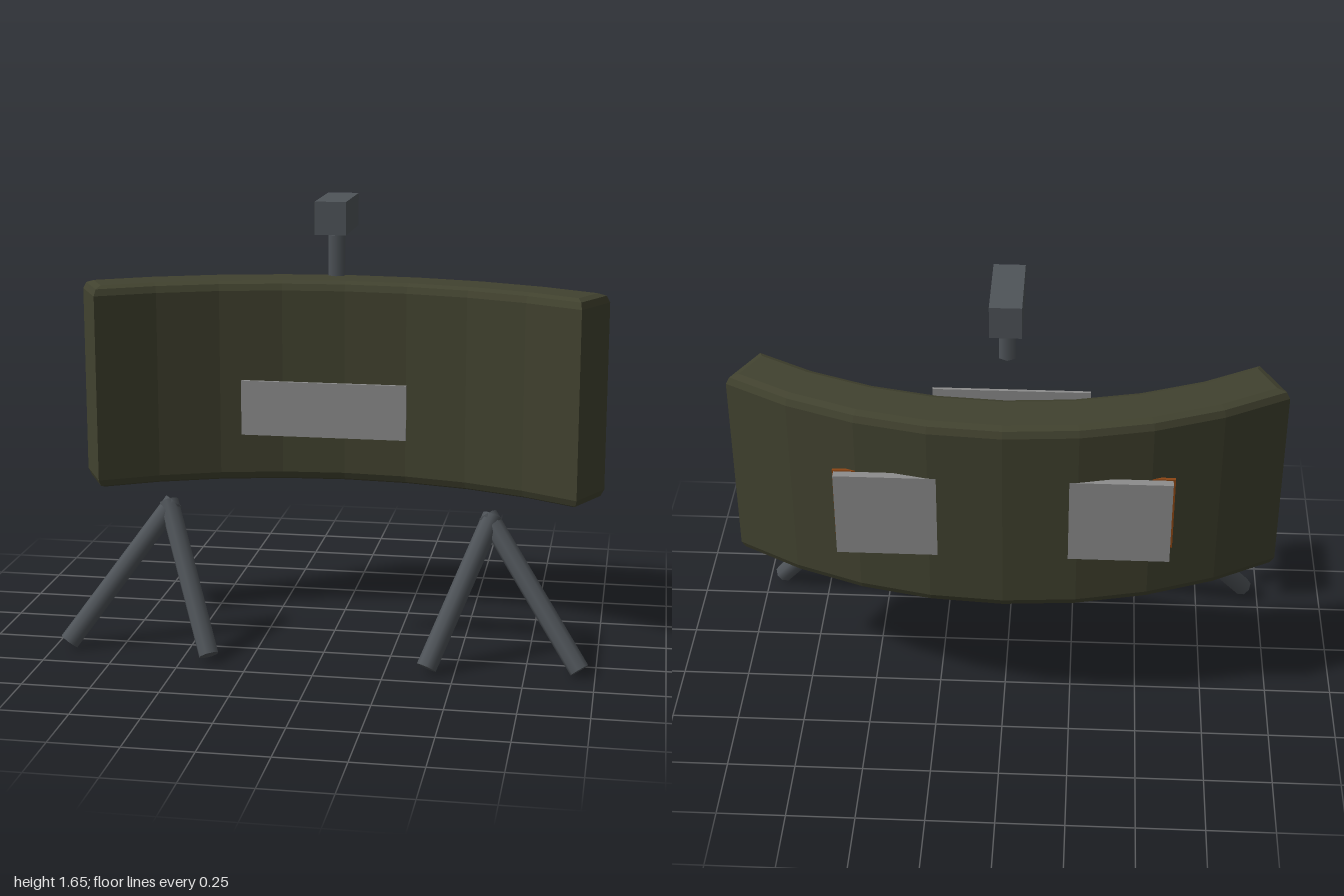
import * as THREE from 'three';

const material = (name, color) => {
  const m = new THREE.MeshStandardMaterial({ color });
  m.name = name;
  return m;
};

export function createModel() {
  const olive = material('olive casing', 0x41422f);
  const steel = material('dark steel', 0x4f5459);
  const grey = material('plate grey', 0x8c8c8c);
  const rust = material('rust brown', 0x8b4513);

  const model = new THREE.Group();
  model.name = 'curvedDevice';

  function add(name, geometry, mat, x = 0, y = 0, z = 0, parent = model) {
    const mesh = new THREE.Mesh(geometry, mat);
    mesh.name = name;
    mesh.position.set(x, y, z);
    parent.add(mesh);
    return mesh;
  }

  // Points of a shallow arc in plan, from -x to +x, with its apex at z = apex
  function arc(halfWidth, apex, endZ, segments = 8) {
    const sag = endZ - apex;
    const radius = (halfWidth ** 2 + sag ** 2) / (2 * sag);
    const sweep = Math.asin(halfWidth / radius);
    return Array.from({ length: segments + 1 }, (_, i) => {
      const a = sweep * (2 * i / segments - 1);
      return new THREE.Vector2(radius * Math.sin(a), apex + radius * (1 - Math.cos(a)));
    });
  }

  // Curved casing: plan outline extruded upright with bevelled rims
  const bevel = 0.035;
  const outline = [...arc(1, -0.44, -0.14), ...arc(0.905, -0.225, 0.045).reverse()];
  const casing = new THREE.ExtrudeGeometry(new THREE.Shape(outline), {
    depth: 0.78 - 2 * bevel, bevelEnabled: true, bevelSize: bevel,
    bevelThickness: bevel, bevelOffset: -bevel, bevelSegments: 2,
  });
  casing.rotateX(Math.PI / 2);
  add('casing', casing, olive, 0, 1.31 - bevel, 0);

  // Label plate in front
  add('frontPlate', new THREE.BoxGeometry(0.6, 0.2, 0.012), grey, 0, 0.92, 0.255);

  // Sight above the casing
  add('sightBlock', new THREE.BoxGeometry(0.114, 0.12, 0.3), steel, 0, 1.592, -0.05);
  add('sightPost', new THREE.CylinderGeometry(0.034, 0.034, 0.15, 6), steel, 0, 1.44, -0.048);

  // Round strut between two points
  function strut(name, from, to, parent) {
    const a = new THREE.Vector3(...from), b = new THREE.Vector3(...to);
    const dir = a.clone().sub(b);
    const mesh = add(name, new THREE.CylinderGeometry(0.037, 0.037, dir.length(), 8), steel, 0, 0, 0, parent);
    mesh.position.copy(a).add(b).multiplyScalar(0.5);
    mesh.quaternion.setFromUnitVectors(new THREE.Vector3(0, 1, 0), dir.normalize());
  }

  for (const [side, s] of [['left', 1], ['right', -1]]) {
    // Rear covers, each over a rust-coloured backing
    add(side + 'RearCover', new THREE.BoxGeometry(0.4, 0.335, 0.03), grey, s * 0.395, 0.92, -0.408);
    add(side + 'RearBacking', new THREE.BoxGeometry(0.42, 0.3, 0.012), rust, s * 0.395, 0.92, -0.357);

    // Pair of splayed legs
    const legs = new THREE.Group();
    legs.name = side + 'Legs';
    model.add(legs);
    strut(side + 'OuterLeg', [s * 0.587, 0.524, 0.137], [s * 0.944, 0.024, 0.352], legs);
    strut(side + 'InnerLeg', [s * 0.607, 0.524, 0.14], [s * 0.4, 0.021, 0.405], legs);
  }

  return model;
}
